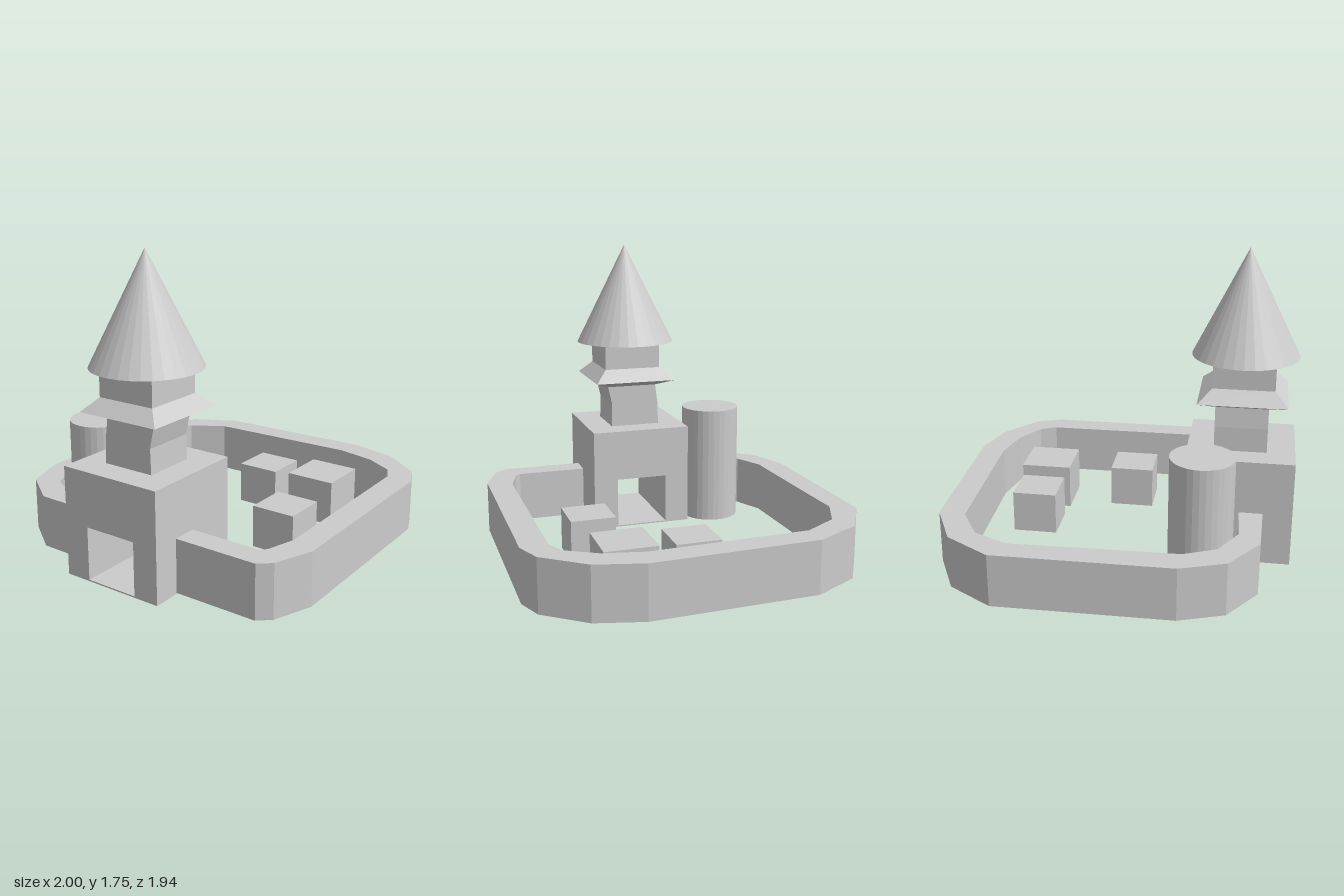
import * as THREE from 'three';

const material = new THREE.MeshStandardMaterial({ color: 0xcccccc, flatShading: true });

function add(group, name, geometry, x = 0, y = 0, z = 0) {
  const mesh = new THREE.Mesh(geometry, material);
  mesh.name = name;
  mesh.position.set(x, y, z);
  group.add(mesh);
  return mesh;
}

// Stacks rectangular rings [y, x0, x1, z0, z1] into a closed solid
function loftRects(rings) {
  const positions = [];
  const indices = [];
  for (const [y, x0, x1, z0, z1] of rings) {
    positions.push(x0, y, z1, x1, y, z1, x1, y, z0, x0, y, z0);
  }
  for (let r = 0; r < rings.length - 1; r++) {
    for (let i = 0; i < 4; i++) {
      const a = r * 4 + i, b = r * 4 + (i + 1) % 4;
      indices.push(a, b, b + 4, a, b + 4, a + 4);
    }
  }
  const t = (rings.length - 1) * 4;
  indices.push(0, 2, 1, 0, 3, 2, t, t + 1, t + 2, t, t + 2, t + 3);
  const geometry = new THREE.BufferGeometry();
  geometry.setAttribute('position', new THREE.Float32BufferAttribute(positions, 3));
  geometry.setIndex(indices);
  const flat = geometry.toNonIndexed();
  flat.computeVertexNormals();
  return flat;
}

export function createModel() {
  const model = new THREE.Group();
  model.name = 'walledCourtyard';

  // Curtain wall: plan as (x, z), outer edge then inner edge back, ends buried in the gatehouse
  const outer = [
    [-0.835, -0.27], [-0.83, -0.64], [-0.67, -0.87], [-0.42, -0.96], [0.57, -0.975],
    [0.83, -0.82], [0.97, -0.55], [1, 0.4], [0.93, 0.67], [0.75, 0.9],
    [0.6, 0.96], [-0.56, 0.965], [-0.78, 0.88], [-0.84, 0.81], [-0.84, 0.3],
  ];
  const inner = [
    [-0.7, 0.3], [-0.7, 0.74], [-0.67, 0.77], [-0.5, 0.82], [0.6, 0.81],
    [0.7, 0.76], [0.8, 0.59], [0.85, 0.36], [0.82, -0.55], [0.7, -0.75],
    [0.5, -0.84], [0.24, -0.83], [-0.43, -0.81], [-0.61, -0.73], [-0.71, -0.55], [-0.7, -0.27],
  ];
  const plan = new THREE.Shape([...outer, ...inner].map(([x, z]) => new THREE.Vector2(x, -z)));
  const wall = new THREE.ExtrudeGeometry(plan, { depth: 0.305, bevelEnabled: false });
  wall.rotateX(-Math.PI / 2);
  add(model, 'curtainWall', wall, 0, 0.005, 0);

  // Gatehouse: block with a passage running along x
  const rect = (z0, z1, y0, y1) => [[-z1, y0], [-z0, y0], [-z0, y1], [-z1, y1]]
    .map(([a, b]) => new THREE.Vector2(a, b));
  const face = new THREE.Shape(rect(-0.29, 0.325, 0, 0.62));
  face.holes.push(new THREE.Path(rect(-0.14, 0.175, 0.008, 0.31)));
  const gate = new THREE.ExtrudeGeometry(face, { depth: 0.615, bevelEnabled: false });
  gate.rotateY(Math.PI / 2);
  add(model, 'gatehouse', gate, -1, 0, 0);

  // Square tower: slightly bent shaft, flared collar and upper storey
  add(model, 'towerShaft', loftRects([
    [0.61, -0.84, -0.54, -0.14, 0.17],
    [0.76, -0.84, -0.54, -0.135, 0.165],
    [0.875, -0.84, -0.54, -0.12, 0.19],
    [0.915, -0.945, -0.44, -0.215, 0.285],
    [0.99, -0.87, -0.52, -0.14, 0.21],
    [1.15, -0.87, -0.52, -0.14, 0.21],
  ]));

  // Conical roof
  add(model, 'towerRoof', new THREE.ConeGeometry(0.305, 0.61, 32), -0.695, 1.45, 0.035);

  // Round turret behind the gate
  add(model, 'roundTurret', new THREE.CylinderGeometry(0.18, 0.18, 0.72, 32), -0.5, 0.36, -0.48);

  // Courtyard houses: [x, z, width, depth, height]
  const houses = [
    [0.53, 0.01, 0.26, 0.26, 0.25],
    [0.54, 0.395, 0.305, 0.3, 0.27],
    [0, 0.46, 0.265, 0.265, 0.25],
  ];
  houses.forEach(([x, z, w, d, h], i) => {
    add(model, `house${i + 1}`, new THREE.BoxGeometry(w, h, d), x, h / 2, z);
  });

  return model;
}
